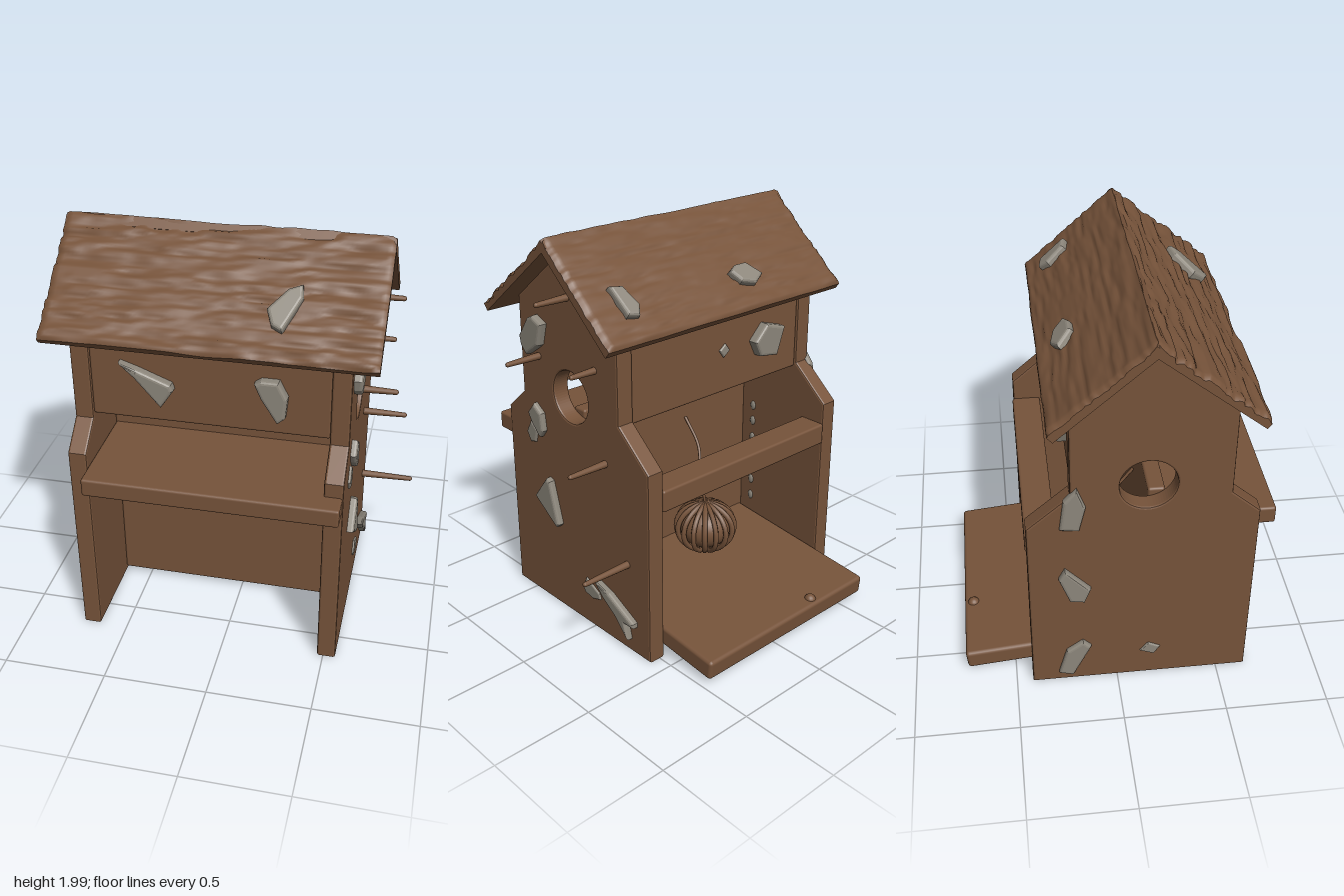
import * as THREE from 'three';
import { RoundedBoxGeometry } from 'three/addons/geometries/RoundedBoxGeometry.js';

const wood = new THREE.MeshStandardMaterial({ color: 0x76533a });
wood.name = 'wood';
const stone = new THREE.MeshStandardMaterial({ color: 0x8c867b });
stone.name = 'stone';

const RIDGE_Z = 0.13, RIDGE_Y = 1.995;

function add(parent, name, geometry, material = wood) {
  const mesh = new THREE.Mesh(geometry, material);
  mesh.name = name;
  parent.add(mesh);
  return mesh;
}

// Rounded board given by its min and max corners
function board(parent, name, [x0, x1], [y0, y1], [z0, z1], r = 0.012) {
  const mesh = add(parent, name, new RoundedBoxGeometry(x1 - x0, y1 - y0, z1 - z0, 2, r));
  mesh.position.set((x0 + x1) / 2, (y0 + y1) / 2, (z0 + z1) / 2);
  return mesh;
}

// Smooth value noise from a seeded hash
function hash(i, j) {
  const s = Math.sin(i * 127.1 + j * 311.7) * 43758.5453;
  return s - Math.floor(s);
}
function noise(x, y) {
  const i = Math.floor(x), j = Math.floor(y);
  const ease = t => t * t * (3 - 2 * t);
  const u = ease(x - i), v = ease(y - j);
  const mix = THREE.MathUtils.lerp;
  return mix(mix(hash(i, j), hash(i + 1, j), u), mix(hash(i, j + 1), hash(i + 1, j + 1), u), v);
}

// Flat stone chip, outline in a plane, half sunk into the surface
function chipGeometry(points, thick) {
  const bevel = Math.min(0.015, thick * 0.4);
  const shape = new THREE.Shape(points.map(p => new THREE.Vector2(p[0], p[1])));
  const g = new THREE.ExtrudeGeometry(shape, {
    depth: thick - 2 * bevel, bevelThickness: bevel, bevelSize: bevel, bevelOffset: -bevel, bevelSegments: 3,
  });
  return g.translate(0, 0, bevel - thick / 2);
}

// Side wall with shoulders, gable and round entrance
function sideWall(parent, name, outerX) {
  const b = 0.01;
  const s = new THREE.Shape([
    [0.635, 0.015], [0.635, 1.015], [0.5, 1.135], [0.5, 1.625], [0.13, 1.925], [-0.21, 1.625],
    [-0.21, 1.175], [-0.41, 1.0], [-0.41, 0.015],
  ].map(p => new THREE.Vector2(...p)));
  s.holes.push(new THREE.Path().absarc(0.13, 1.215, 0.14, 0, Math.PI * 2, true));
  const g = new THREE.ExtrudeGeometry(s, {
    depth: 0.07, bevelThickness: b, bevelSize: b, bevelSegments: 2, curveSegments: 32,
  });
  g.translate(0, 0, b).rotateY(-Math.PI / 2);
  add(parent, name, g).position.x = outerX;
}

// Roof slope with bark grooves running along x; sign +1 front, -1 back
function roofSlope(parent, name, sign, run, drop, depth, chips) {
  const length = Math.hypot(run, drop), angle = Math.atan2(drop, run);
  const w = 1.51, t = 0.05;
  const g = new THREE.BoxGeometry(w, t, length, 80, 1, 56);
  const p = g.attributes.position;
  for (let i = 0; i < p.count; i++) {
    const x = p.getX(i), z = p.getZ(i);
    if (p.getY(i) < 0) continue;
    const wave = z + 0.03 * noise(x * 4 + 9, z * 5);
    const n = noise(x * 5 + 40 * sign, wave * 42 + 70) * 0.7 + noise(x * 13, wave * 60 + 20) * 0.3;
    const edge = Math.min(w / 2 - Math.abs(x), length / 2 - sign * z);
    const round = 0.014 * Math.max(0, 1 - edge / 0.025) ** 2;
    p.setY(i, t / 2 + 0.006 - depth * Math.max(0, n - 0.3) - round);
  }
  g.computeVertexNormals();
  const slope = new THREE.Group();
  slope.name = name;
  slope.rotation.x = sign * angle;
  slope.position.set(-0.075,
    RIDGE_Y - drop / 2 - Math.cos(angle) * t / 2,
    RIDGE_Z + sign * (run / 2 - Math.sin(angle) * t / 2));
  add(slope, name + 'Bark', g);
  // Chips are given as [x, horizontal distance from the ridge]
  for (const outline of chips) {
    const local = outline.map(([x, d]) => [x + 0.075, sign * (d / Math.cos(angle) - length / 2)]);
    const chip = add(slope, 'roofStone', chipGeometry(local, 0.05).rotateX(Math.PI / 2), stone);
    chip.position.y = t / 2 + 0.01;
  }
  parent.add(slope);
}

// Slatted round feeder on the tray
function feeder(parent) {
  const group = new THREE.Group();
  group.name = 'feeder';
  group.position.set(-0.15, 0.34, -0.06);
  add(group, 'feederCore', new THREE.SphereGeometry(0.135, 24, 16)).scale.y = 0.85;
  const arc = [];
  for (let k = 0; k <= 10; k++) {
    const a = -Math.PI / 2 + Math.PI * k / 10;
    arc.push(new THREE.Vector3(0.155 * Math.cos(a), 0.13 * Math.sin(a), 0));
  }
  const rib = new THREE.TubeGeometry(new THREE.CatmullRomCurve3(arc), 20, 0.014, 6);
  for (let i = 0; i < 16; i++) add(group, 'feederRib', rib).rotation.y = i * Math.PI / 8;
  const cord = new THREE.CatmullRomCurve3([[0, 0.12, 0], [0.01, 0.3, 0.03], [-0.04, 0.42, 0.1], [-0.04, 0.55, 0.2]]
    .map(q => new THREE.Vector3(...q)));
  add(group, 'feederCord', new THREE.TubeGeometry(cord, 20, 0.008, 6));
  parent.add(group);
}

export function createModel() {
  const house = new THREE.Group();
  house.name = 'birdhouse';

  // Walls
  sideWall(house, 'rightSideWall', 0.56);
  sideWall(house, 'leftSideWall', -0.635);
  const inner = [-0.637, 0.472];
  board(house, 'innerWall', inner, [0.03, 1.12], [0.14, 0.22]);
  board(house, 'frontUpperPanel', inner, [1.16, 1.64], [0.42, 0.5]);
  board(house, 'backUpperPanel', inner, [1.16, 1.64], [-0.21, -0.13]);

  // Shelf, back rail and sloping tray
  board(house, 'frontShelf', [-0.635, 0.555], [0.86, 0.95], [0.2, 0.748]);
  board(house, 'backRail', inner, [0.79, 0.9], [-0.426, -0.28]);
  const tray = board(house, 'tray', [-0.63, 0.475], [0.08, 0.18], [-0.745, 0.17], 0.018);
  tray.rotation.x = -0.1;
  add(house, 'trayKnob', new THREE.SphereGeometry(0.03, 16, 12)).position.set(-0.27, 0.13, -0.7);
  add(house, 'wallKnob', new THREE.SphereGeometry(0.016, 12, 8)).position.set(-0.53, 0.79, 0.22);
  feeder(house);

  // Roof
  roofSlope(house, 'frontRoof', 1, 0.5, 0.4, 0.035,
    [[[0.17, 0.32], [0.2, 0.38], [0.25, 0.4], [0.32, 0.27], [0.31, 0.22], [0.25, 0.24]]]);
  roofSlope(house, 'backRoof', -1, 0.455, 0.4, 0.018, [
    [[-0.35, 0.34], [-0.28, 0.37], [-0.2, 0.35], [-0.165, 0.3], [-0.22, 0.28], [-0.29, 0.28]],
    [[0.42, 0.33], [0.45, 0.37], [0.51, 0.36], [0.52, 0.24], [0.45, 0.25]],
  ]);

  // Tapered perches on the right wall: z, y, tip x
  for (const [z, y, tip] of [[0.125, 1.705, 0.74], [-0.06, 1.405, 0.7], [0.365, 1.36, 0.75],
    [-0.12, 0.96, 0.775], [-0.265, 0.485, 0.825]]) {
    const len = tip - 0.5;
    const perch = new THREE.Group();
    perch.name = 'perch';
    add(perch, 'perchRod', new THREE.CylinderGeometry(0.012, 0.02, len - 0.012, 12));
    add(perch, 'perchTip', new THREE.SphereGeometry(0.012, 12, 8)).position.y = len / 2 - 0.006;
    perch.rotation.z = -Math.PI / 2;
    perch.position.set(0.5 + len / 2 - 0.006, y, z);
    house.add(perch);
  }

  // Stones facing front and back: plane z, thickness, outline in x, y
  for (const [z, t, outline] of [
    [0.505, 0.08, [[-0.49, 1.46], [-0.4, 1.43], [-0.25, 1.37], [-0.24, 1.34], [-0.3, 1.25], [-0.42, 1.39]]],
    [0.505, 0.08, [[0.13, 1.42], [0.16, 1.44], [0.24, 1.44], [0.28, 1.36], [0.27, 1.26], [0.235, 1.23], [0.16, 1.35]]],
    [0.22, 0.06, [[-0.03, 0.79], [0.045, 0.7], [0, 0.67], [-0.02, 0.6], [-0.05, 0.6], [-0.11, 0.69], [-0.04, 0.75]]],
    [-0.22, 0.08, [[-0.5, 1.42], [-0.37, 1.46], [-0.29, 1.38], [-0.33, 1.3], [-0.45, 1.28]]],
    [-0.21, 0.02, [[-0.15, 1.37], [-0.12, 1.41], [-0.08, 1.38], [-0.11, 1.34]]],
  ]) add(house, 'panelStone', chipGeometry(outline, t), stone).position.z = z;

  // Stones on the side walls: plane x, thickness, outline in z, y
  for (const [x, t, outline] of [
    [0.56, 0.08, [[0.47, 1.45], [0.4, 1.55], [0.36, 1.57], [0.29, 1.54], [0.32, 1.43], [0.36, 1.4], [0.42, 1.36], [0.46, 1.4]]],
    [0.56, 0.06, [[0.45, 1.05], [0.4, 1.11], [0.34, 1.07], [0.33, 0.98], [0.36, 0.94], [0.42, 1]]],
    [0.56, 0.025, [[0.49, 0.93], [0.45, 1], [0.4, 0.96], [0.42, 0.89], [0.46, 0.88]]],
    [0.56, 0.07, [[0.42, 0.6], [0.32, 0.73], [0.29, 0.72], [0.23, 0.5], [0.25, 0.48], [0.38, 0.57]]],
    [0.56, 0.07, [[-0.04, 0.31], [-0.15, 0.28], [-0.33, 0.19], [-0.33, 0.165], [-0.27, 0.165], [-0.29, 0.08], [-0.2, 0.17], [-0.1, 0.24]]],
    [0.56, 0.02, [[0.08, 0.21], [0.05, 0.27], [-0.05, 0.22], [-0.06, 0.19], [0, 0.17], [0.06, 0.18]]],
    [-0.725, 0.04, [[-0.27, 1.0], [-0.18, 0.99], [-0.15, 1.12], [-0.19, 1.23], [-0.25, 1.16]]],
    [-0.725, 0.06, [[-0.28, 0.7], [-0.25, 0.76], [-0.13, 0.63], [-0.16, 0.55], [-0.23, 0.56]]],
    [-0.725, 0.05, [[-0.29, 0.07], [-0.22, 0.05], [-0.13, 0.24], [-0.17, 0.28], [-0.25, 0.22]]],
    [-0.725, 0.02, [[0.11, 0.17], [0.15, 0.22], [0.21, 0.19], [0.18, 0.14]]],
  ]) add(house, 'wallStone', chipGeometry(outline, t).rotateY(-Math.PI / 2), stone).position.x = x;

  // Rows of pebbles on the inside of both walls
  for (const x of [0.47, -0.635]) {
    for (const y of [0.3, 0.4, 0.52, 0.66, 0.76, 0.85]) {
      const pebble = add(house, 'pebble', new THREE.SphereGeometry(0.02, 10, 8), stone);
      pebble.scale.set(0.5, 1.3, 0.9);
      pebble.position.set(x, y, 0.07);
    }
  }
  return house;
}
